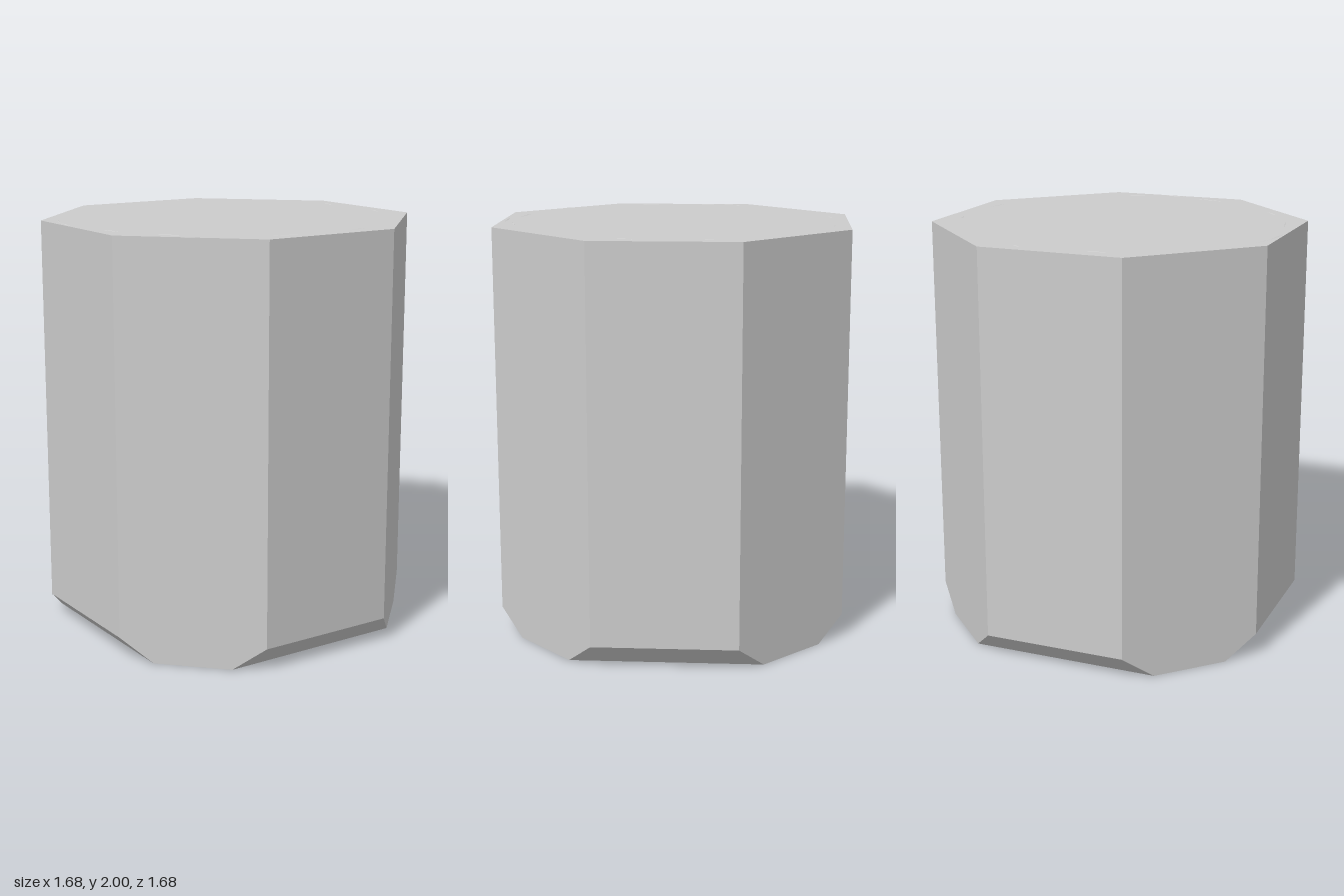
import * as THREE from 'three';
import { ConvexGeometry } from 'three/addons/geometries/ConvexGeometry.js';

const material = new THREE.MeshStandardMaterial({ color: 0xcccccc, flatShading: true });

// Octagon with flats at distance r and corners at +-c, at height y
function octagon(r, c, y) {
  const points = [];
  for (const a of [-1, 1]) {
    for (const b of [-1, 1]) {
      points.push(new THREE.Vector3(a * c, y, b * r), new THREE.Vector3(a * r, y, b * c));
    }
  }
  return points;
}

// Slim, barely raised scuff between two points on the top face
function scuff(x1, z1, x2, z2, top) {
  const mesh = new THREE.Mesh(new THREE.OctahedronGeometry(1), material);
  mesh.name = 'topScuff';
  mesh.scale.set(Math.hypot(x2 - x1, z2 - z1) / 2, 0.002, 0.004);
  mesh.position.set((x1 + x2) / 2, top, (z1 + z2) / 2);
  mesh.rotation.y = -Math.atan2(z2 - z1, x2 - x1);
  return mesh;
}

export function createModel() {
  const group = new THREE.Group();
  group.name = 'octagonalBlock';
  const top = 1.998;

  // Prism whose four square-on sides are bevelled at the foot; diagonals run straight down
  const body = new THREE.Mesh(new ConvexGeometry([
    ...octagon(0.84, 0.345, top),
    ...octagon(0.84, 0.345, 0.115),
    ...octagon(0.725, 0.46, 0),
  ]), material);
  body.name = 'body';
  group.add(body);

  // Fine scuffs around the rim of the top
  const marks = [
    [-0.24, -0.75, -0.15, -0.77], [0.17, -0.77, 0.21, -0.76],
    [-0.83, -0.05, -0.81, -0.2], [-0.81, -0.2, -0.77, -0.31],
    [-0.78, 0.13, -0.75, 0.26], [-0.66, 0.43, -0.58, 0.52],
    [-0.61, 0.57, -0.56, 0.62], [-0.29, 0.74, -0.11, 0.78],
    [0.12, 0.78, 0.27, 0.74], [-0.07, 0.82, 0.1, 0.82],
    [0.75, -0.22, 0.76, -0.16], [0.77, 0.14, 0.74, 0.25],
  ];
  for (const m of marks) group.add(scuff(...m, top));

  return group;
}
